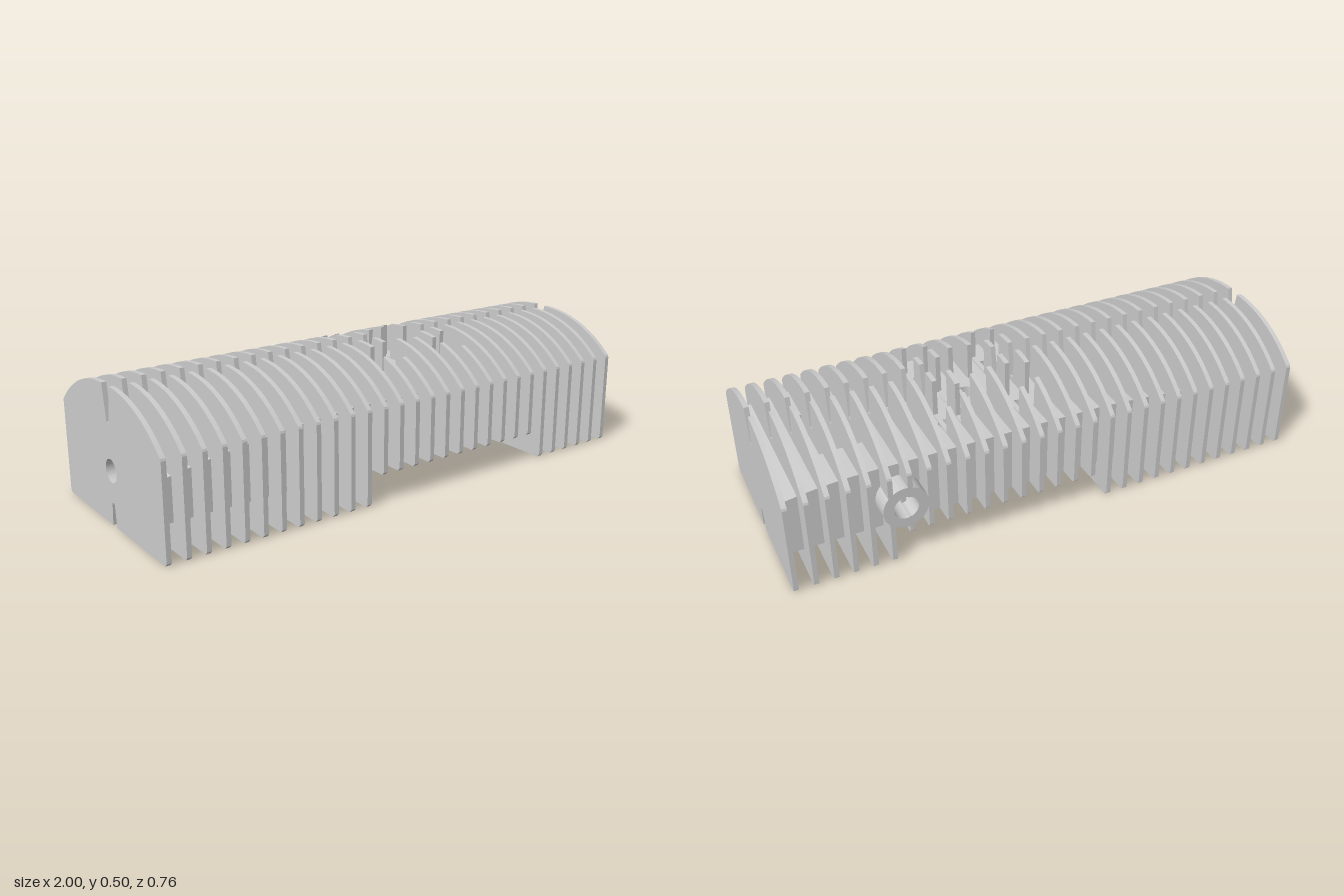
import * as THREE from 'three';

const mat = new THREE.MeshStandardMaterial({ color: 0xcccccc, flatShading: true });
const FINS = 29, THICK = 0.018, END = 0.985;
const BASE = 0.105, DECK = 0.35; // underside and top of the core
const CX = 0.196, SCREW = [0.146, 0.152], PORT = { x: 0.585, y: 0.22, r: 0.045 };

const poly = (pts) => new THREE.Shape(pts.map(([x, y]) => new THREE.Vector2(x, y)));
function circle(x, y, r) {
  const p = new THREE.Path();
  p.absarc(x, y, r, 0, Math.PI * 2, true);
  return p;
}
const extrude = (shape, depth) =>
  new THREE.ExtrudeGeometry(shape, { depth, bevelEnabled: false, curveSegments: 16 });

// Height of the arched fin edge
function archY(z) {
  const d = Math.max(Math.abs(z) - 0.03, 0);
  return 0.5 - 0.4956 + Math.sqrt(0.4956 ** 2 - d * d);
}

// Height of the core's top, sloping down toward both ends
function deckY(x) {
  if (x < -0.2) return DECK - 0.05 * (-0.2 - x) - 0.094 * (-0.2 - x) ** 2;
  if (x > 0.68) return DECK - 0.3 * (x - 0.68) ** 2;
  return DECK;
}

// Gaps in the top edge of the fin at x: [centre, half width at top, at floor, floor]
function topGaps(x) {
  const gaps = [];
  const dc = Math.abs(x - CX);
  if (dc < 0.1) {
    const h = Math.sqrt(0.1 ** 2 - dc * dc);
    gaps.push([0, h, h, DECK]);
  } else gaps.push([0, 0.029, 0.009, 0.37]);
  const ds = Math.abs(dc - SCREW[0]);
  if (ds < 0.063) {
    const h = Math.sqrt(0.063 ** 2 - ds * ds);
    for (const s of [-1, 1]) gaps.push([s * SCREW[1], h, h, 0.355]);
  }
  return gaps.sort((a, b) => b[0] - a[0]);
}

function finShape(i, x) {
  const tall = i < 12 || i > 22;
  const y0 = tall ? 0 : BASE;
  const pts = [];
  // lower edge, with its slot on the tall fins
  pts.push([-0.38, y0 + 0.01], [-0.37, y0]);
  if (tall) pts.push([-0.016, 0], [-0.009, 0.08], [-0.006, 0.084], [0.006, 0.084], [0.009, 0.08], [0.016, 0]);
  pts.push([0.37, y0], [0.38, y0 + 0.01], [0.38, 0.35], [0.377, 0.358]);
  // arched top edge
  let z = 0.37;
  const runTo = (end) => {
    const n = Math.max(2, Math.ceil((z - end) / 0.035));
    for (let k = 0; k <= n; k++) {
      const q = z + ((end - z) * k) / n;
      pts.push([q, archY(q)]);
    }
  };
  for (const [c, top, low, floor] of topGaps(x)) {
    runTo(c + top);
    pts.push([c + low, floor], [c - low, floor]);
    z = c - top;
  }
  runTo(-0.37);
  pts.push([-0.377, 0.358], [-0.38, 0.35]);
  // clearance for the bore of the rear port
  const dp = Math.abs(x - PORT.x);
  if (dp < PORT.r) {
    const h = Math.sqrt(PORT.r ** 2 - dp * dp);
    pts.push([-0.38, PORT.y + h], [-0.3, PORT.y + h], [-0.3, PORT.y - h], [-0.38, PORT.y - h]);
  }
  const shape = poly(pts);
  if (i < 3) shape.holes.push(circle(0, 0.2, 0.042)); // end bore
  return shape;
}

// Side profile of a stretch of core
function sideProfile(x0, x1) {
  const pts = [[x0, BASE], [x1, BASE]];
  for (let k = 0; k <= 12; k++) {
    const x = x1 + ((x0 - x1) * k) / 12;
    pts.push([x, deckY(x)]);
  }
  return poly(pts);
}

export function createModel() {
  const group = new THREE.Group();
  const add = (name, geo, parent = group) => {
    const m = new THREE.Mesh(geo, mat);
    m.name = name;
    parent.add(m);
    return m;
  };

  // Cooling fins
  const fins = new THREE.Group();
  fins.name = 'fins';
  group.add(fins);
  for (let i = 0; i < FINS; i++) {
    const x = -0.991 + (1.982 * i) / (FINS - 1);
    const g = extrude(finShape(i, x), THICK).rotateY(-Math.PI / 2);
    add('fin', g.translate(x + THICK / 2, 0, 0), fins);
  }

  const core = new THREE.Group();
  core.name = 'core';
  group.add(core);
  const slab = (name, x0, x1, z0, z1) =>
    add(name, extrude(sideProfile(x0, x1), z1 - z0).translate(0, 0, z0), core);

  // Side rails along both windows
  for (const [x0, x1] of [[-END, -0.24], [0.64, END]]) {
    slab('frontRail', x0, x1, 0.13, 0.3);
    slab('backRail', x0, x1, -0.3, -0.13);
  }
  slab('endBlock', 0.8, END, -0.13, 0.13);

  // Bored end block, its top following the slope
  const bored = poly([[-0.13, BASE], [0.13, BASE], [0.13, DECK], [-0.13, DECK]]);
  bored.holes.push(circle(0, 0.2, 0.042));
  const boredGeo = extrude(bored, END - 0.81).rotateY(-Math.PI / 2).translate(-0.81, 0, 0);
  const p = boredGeo.attributes.position;
  for (let i = 0; i < p.count; i++) if (p.getY(i) > 0.3) p.setY(i, deckY(p.getX(i)));
  boredGeo.computeVertexNormals();
  add('boredEndBlock', boredGeo, core);

  // Chamfered corners of the long window
  for (const s of [-1, 1]) {
    for (const [xa, xb] of [[-0.81, -0.735], [-0.24, -0.31]]) {
      const pts = [[xa, s * 0.13], [xb, s * 0.13], [xa, s * 0.06]];
      const h = deckY(xa) - BASE;
      add('windowCorner', extrude(poly(pts), h).rotateX(-Math.PI / 2).translate(0, BASE, 0), core);
    }
  }

  // Mounting block with the centre hole and four screw holes
  const plate = poly([[-0.24, -0.3], [0.5, -0.3], [0.5, 0.3], [-0.24, 0.3]]);
  plate.holes.push(circle(CX, 0, 0.035));
  for (const sx of [-1, 1])
    for (const sz of [-1, 1]) plate.holes.push(circle(CX + sx * SCREW[0], sz * SCREW[1], 0.027));
  add('mountingBlock', extrude(plate, DECK - BASE).rotateX(-Math.PI / 2).translate(0, BASE, 0), core);

  // Raised seat round the centre hole
  const seat = new THREE.Shape().absarc(CX, 0, 0.098, 0, Math.PI * 2);
  seat.holes.push(circle(CX, 0, 0.035));
  add('centreSeat', extrude(seat, 0.004).rotateX(-Math.PI / 2).translate(0, DECK, 0), core);

  // Block behind the rear port, with a blind bore
  slab('portBlock', 0.5, 0.64, -0.1, 0.3);
  const portShape = sideProfile(0.5, 0.64);
  portShape.holes.push(circle(PORT.x, PORT.y, PORT.r));
  add('portBore', extrude(portShape, 0.2).translate(0, 0, -0.3), core);

  // Ring of the rear port
  const ring = new THREE.Shape().absarc(PORT.x, PORT.y, 0.083, 0, Math.PI * 2);
  ring.holes.push(circle(PORT.x, PORT.y, PORT.r));
  add('portRing', extrude(ring, 0.08).translate(0, 0, -0.38));

  return group;
}
